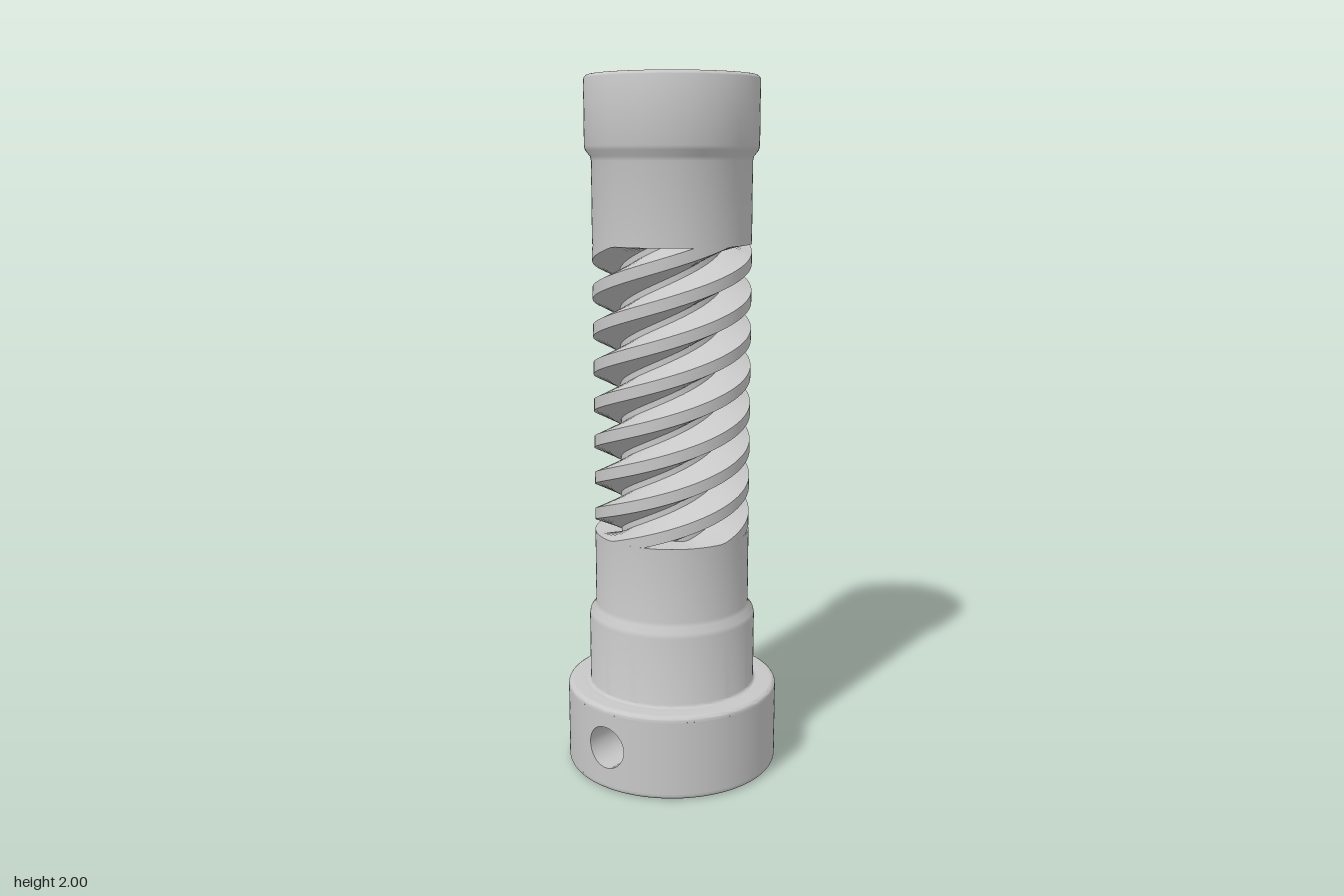
import * as THREE from 'three';
import { toCreasedNormals } from 'three/addons/utils/BufferGeometryUtils.js';

const grey = new THREE.MeshStandardMaterial({ color: 0xc7c7c7, side: THREE.DoubleSide });
grey.name = 'grey';

const BASE_R = 0.31, HEAD_R = 0.244, BODY_R = 0.225, CORE_R = 0.148;
const Y0 = 0.712, Y1 = 1.542;          // ends of the threaded section
const HOLE_Y = 0.13, HOLE_R = 0.062;   // cross hole through the base

function add(group, name, geometry) {
  const mesh = new THREE.Mesh(geometry, grey);
  mesh.name = name;
  group.add(mesh);
  return mesh;
}

function lathe(points) {
  const pts = points.map(([r, y]) => new THREE.Vector2(r, y));
  return toCreasedNormals(new THREE.LatheGeometry(pts, 96), 0.6);
}

// Rounded corner of a profile, angles in degrees
function fillet(cx, cy, r, from, to) {
  return Array.from({ length: 7 }, (_, i) => {
    const a = THREE.MathUtils.degToRad(from + (to - from) * i / 6);
    return [cx + r * Math.cos(a), cy + r * Math.sin(a)];
  });
}

// Surface through equal-length rows of [x, y, z] points
function loft(rows, closed) {
  const n = rows[0].length, pos = [], idx = [];
  rows.forEach(row => row.forEach(p => pos.push(...p)));
  for (let i = 0; i < rows.length - 1; i++) {
    for (let j = 0; j < (closed ? n : n - 1); j++) {
      const a = i * n + j, b = i * n + (j + 1) % n;
      idx.push(a, b, b + n, a, b + n, a + n);
    }
  }
  const g = new THREE.BufferGeometry();
  g.setAttribute('position', new THREE.Float32BufferAttribute(pos, 3));
  g.setIndex(idx);
  g.computeVertexNormals();
  return g;
}

// Disc pierced by holes, lying flat with its lower face at y
function piercedDisc(radius, holes, depth, y) {
  const shape = new THREE.Shape().absarc(0, 0, radius, 0, Math.PI * 2, false);
  shape.holes.push(...holes);
  const g = new THREE.ExtrudeGeometry(shape, { depth, bevelEnabled: false, curveSegments: 48 });
  g.rotateX(-Math.PI / 2);
  g.translate(0, y, 0);
  return toCreasedNormals(g, 0.6);
}

function roundHole(x, y, r) {
  return new THREE.Path().absarc(x, y, r, 0, Math.PI * 2, true);
}

function rectHole(x, y, w, h) {
  return new THREE.Path([[-1, -1], [-1, 1], [1, 1], [1, -1]].map(
    ([sx, sy]) => new THREE.Vector2(x + sx * w / 2, y + sy * h / 2)));
}

function disc(radius, y) {
  return new THREE.CircleGeometry(radius, 64).rotateX(-Math.PI / 2).translate(0, y, 0);
}

const onWall = x => Math.sqrt(BASE_R * BASE_R - x * x);

function buildBase() {
  const base = new THREE.Group();
  base.name = 'base';
  const half = 0.109, mid = 0.125, round = 0.015;   // square wall panel around each hole end

  add(base, 'baseLowerEdge', lathe([
    [0.285, 0], ...fillet(BASE_R - round, round, round, -90, 0), [BASE_R, mid - half]]));
  add(base, 'baseUpperEdge', lathe([
    [BASE_R, mid + half], ...fillet(BASE_R - round, 0.25 - round, round, 0, 90), [0.235, 0.25]]));

  // Wall between the two panels, on both sides
  const gap = Math.asin(half / BASE_R);
  for (const start of [0, Math.PI]) {
    add(base, 'baseSideWall', new THREE.CylinderGeometry(BASE_R, BASE_R, half * 2, 48, 1, true,
      start + gap, Math.PI - 2 * gap).translate(0, mid, 0));
  }

  // Wall panels blending from a square outline to the round hole
  const rows = [];
  for (let i = 0; i <= 8; i++) {
    const row = [];
    for (let j = 0; j < 64; j++) {
      const a = j / 64 * Math.PI * 2, c = Math.cos(a), s = Math.sin(a);
      const k = half / Math.max(Math.abs(c), Math.abs(s)), t = i / 8;
      const x = THREE.MathUtils.lerp(k * c, HOLE_R * c, t);
      const y = THREE.MathUtils.lerp(mid + k * s, HOLE_Y + HOLE_R * s, t);
      row.push([x, y, onWall(x)]);
    }
    rows.push(row);
  }
  add(base, 'frontHolePanel', loft(rows, true));
  add(base, 'backHolePanel', loft(rows, true)).rotation.y = Math.PI;

  // Cross hole whose ends follow the round wall
  const rim = sign => Array.from({ length: 64 }, (_, j) => {
    const a = j / 64 * Math.PI * 2, x = HOLE_R * Math.cos(a);
    return [x, HOLE_Y + HOLE_R * Math.sin(a), sign * onWall(x)];
  });
  add(base, 'crossHole', loft([rim(1), rim(-1)], true));

  // Underside with two rectangular pockets and a round one
  add(base, 'underside', piercedDisc(0.294, [
    rectHole(0, 0.17, 0.19, 0.11), rectHole(0, -0.17, 0.19, 0.11), roundHole(0, 0, 0.102),
  ], 0.06, 0));
  add(base, 'pocketFloor', disc(0.294, 0.061));
  return base;
}

function buildThread() {
  const thread = new THREE.Group();
  thread.name = 'thread';
  add(thread, 'core', new THREE.CylinderGeometry(CORE_R, CORE_R, Y1 - Y0, 64, 1, true)
    .translate(0, (Y0 + Y1) / 2, 0));

  // Four tapered ribs, cut flat at both ends
  const starts = 4, lead = 0.43, crest = 0.034, root = 0.09, perTurn = 80;
  for (let k = 0; k < starts; k++) {
    const rows = [], steps = Math.ceil((Y1 - Y0 + 2 * root) / lead * perTurn);
    for (let i = 0; i <= steps; i++) {
      const turn = i / perTurn, a = (turn + k / starts) * Math.PI * 2 + 0.3;
      const y = Y0 - root + turn * lead;
      rows.push([[CORE_R, -root], [BODY_R, -crest], [BODY_R, crest], [CORE_R, root]]
        .map(([r, h]) => [
          r * Math.cos(a), THREE.MathUtils.clamp(y + h / 2, Y0, Y1), -r * Math.sin(a)]));
    }
    add(thread, 'threadRib', toCreasedNormals(loft(rows, false), 0.5));
  }
  return thread;
}

export function createModel() {
  const model = new THREE.Group();
  model.name = 'threadedPost';
  model.add(buildBase(), buildThread());

  // Lower sleeve with a small fillet at its foot
  add(model, 'lowerSleeve', lathe([
    ...fillet(HEAD_R + 0.008, 0.258, 0.008, 270, 180), [HEAD_R, 0.455], [0.241, 0.468],
    [0.228, 0.485], [BODY_R, 0.497], [BODY_R, Y0], [0.1, Y0],
  ]));

  // Upper sleeve and head
  add(model, 'upperSleeve', lathe([
    [0.1, Y1], [BODY_R, Y1], [BODY_R, 1.77], [0.228, 1.782], [0.241, 1.798], [HEAD_R, 1.81],
    ...fillet(HEAD_R - 0.014, 1.986, 0.014, 0, 90), [0.215, 2],
  ]));

  // Top face with two round sockets
  const depth = 0.3;
  add(model, 'topFace', piercedDisc(0.218, [roundHole(0.124, 0, 0.061), roundHole(-0.124, 0, 0.061)],
    depth, 2 - depth));
  add(model, 'socketFloor', disc(0.218, 2 - depth - 0.001));
  return model;
}
